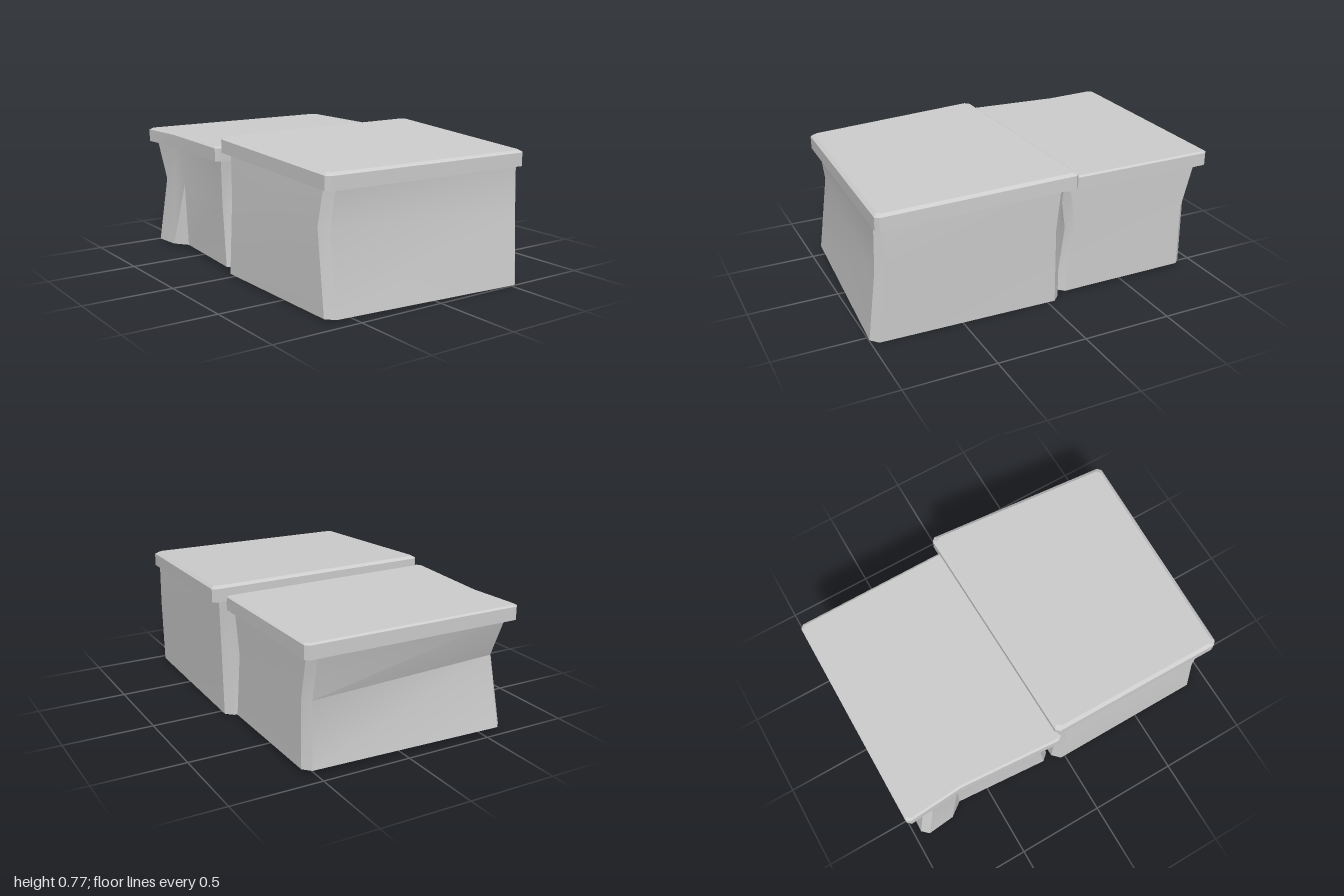
import * as THREE from 'three';
import { toCreasedNormals } from 'three/addons/utils/BufferGeometryUtils.js';

const stone = new THREE.MeshStandardMaterial({ color: 0xcccccc, side: THREE.DoubleSide });
stone.name = 'pale grey stone';

// Cut the corners of a loop: each corner is [x, y, z], a fourth value of 0 keeps it sharp
function chamfer(loop, d) {
  const n = loop.length;
  const out = [];
  loop.forEach((c, i) => {
    const p = new THREE.Vector3(c[0], c[1], c[2]);
    if (c[3] === 0) { out.push(p); return; }
    for (const j of [(i + n - 1) % n, (i + 1) % n]) {
      const q = new THREE.Vector3(loop[j][0], loop[j][1], loop[j][2]);
      out.push(p.clone().add(q.sub(p).setLength(d)));
    }
  });
  return out;
}

// Skin over loops stacked from bottom to top, optionally closed at both ends
function loft(name, rows, capped) {
  const pos = [];
  const tri = (...pts) => pts.forEach((p) => pos.push(p.x, p.y, p.z));
  const n = rows[0].length;
  for (let r = 0; r + 1 < rows.length; r++) {
    for (let i = 0; i < n; i++) {
      const j = (i + 1) % n;
      const a = rows[r][i], b = rows[r][j], c = rows[r + 1][j], d = rows[r + 1][i];
      tri(a, b, c);
      tri(a, c, d);
    }
  }
  if (capped) {
    const centre = (row) => row.reduce((s, p) => s.add(p), new THREE.Vector3()).divideScalar(n);
    const bottom = rows[0], top = rows[rows.length - 1];
    const cb = centre(bottom), ct = centre(top);
    for (let i = 0; i < n; i++) {
      const j = (i + 1) % n;
      tri(ct, top[i], top[j]);
      tri(cb, bottom[j], bottom[i]);
    }
  }
  const g = new THREE.BufferGeometry();
  g.setAttribute('position', new THREE.Float32BufferAttribute(pos, 3));
  const mesh = new THREE.Mesh(toCreasedNormals(g, 0.35), stone);
  mesh.name = name;
  return mesh;
}

// Slab with a thin bevel round its top edge; outline is [x, z] and base gives its underside height
function slab(name, outline, base, thick, bevel) {
  const cx = -0.02;
  const cz = outline.reduce((s, p) => s + p[1], 0) / outline.length;
  const row = (up, inset) => chamfer(outline.map(([x, z, c]) => [
    x - Math.sign(x - cx) * inset,
    base(x, z) + up,
    Math.abs(z - cz) > 0.3 ? z - Math.sign(z - cz) * inset : z,
    c,
  ]), 0.02);
  return loft(name, [row(0, 0), row(thick - bevel, 0), row(thick, bevel * 1.5)], true);
}

export function createModel() {
  const model = new THREE.Group();
  model.name = 'pairOfStoneBlocks';

  // Front block: open below, walls pinched at mid height
  model.add(loft('frontBlockWalls', [
    [[-0.635, 0.01, 0.92], [0.57, 0, 1.0], [0.595, 0, -0.085], [-0.635, 0.01, -0.07]],
    [[-0.63, 0.45, 0.86], [0.59, 0.39, 0.96], [0.6, 0.43, -0.08], [-0.625, 0.45, -0.05]],
    [[-0.615, 0.66, 0.89], [0.59, 0.65, 0.95], [0.615, 0.71, -0.1], [-0.61, 0.71, -0.08]],
  ].map((row) => chamfer(row, 0.042)), false));

  // Front slab, tilted up toward the back
  model.add(slab('frontSlab',
    [[-0.645, 0.92], [0.608, 0.955], [0.675, -0.13], [-0.645, -0.1]],
    (x, z) => 0.635 + (0.95 - z) * 0.047, 0.086, 0.013));

  // Back block: flared top and foot, with a dent in its right-hand wall
  model.add(loft('backBlockWalls', [
    [[-0.605, 0.02, -0.09], [0.555, 0.02, -0.09], [0.555, 0.02, -0.915], [-0.64, 0.02, -0.96],
      [-0.62, 0.02, -0.76, 0], [-0.56, 0.02, -0.68, 0]],
    [[-0.6, 0.39, -0.13], [0.555, 0.39, -0.14], [0.555, 0.39, -0.915], [-0.615, 0.42, -0.89],
      [-0.595, 0.4, -0.76, 0], [-0.575, 0.4, -0.68, 0]],
    [[-0.62, 0.65, -0.1], [0.56, 0.65, -0.1], [0.56, 0.65, -0.98], [-0.625, 0.65, -0.98],
      [-0.61, 0.65, -0.76, 0], [-0.6, 0.65, -0.68, 0]],
  ].map((row) => chamfer(row, 0.04)), false));

  // Back slab, level, dented on the same side
  model.add(slab('backSlab',
    [[-0.677, -0.08], [0.595, -0.1], [0.595, -1], [-0.657, -1], [-0.635, -0.67, 0]],
    () => 0.635, 0.08, 0.008));

  return model;
}
